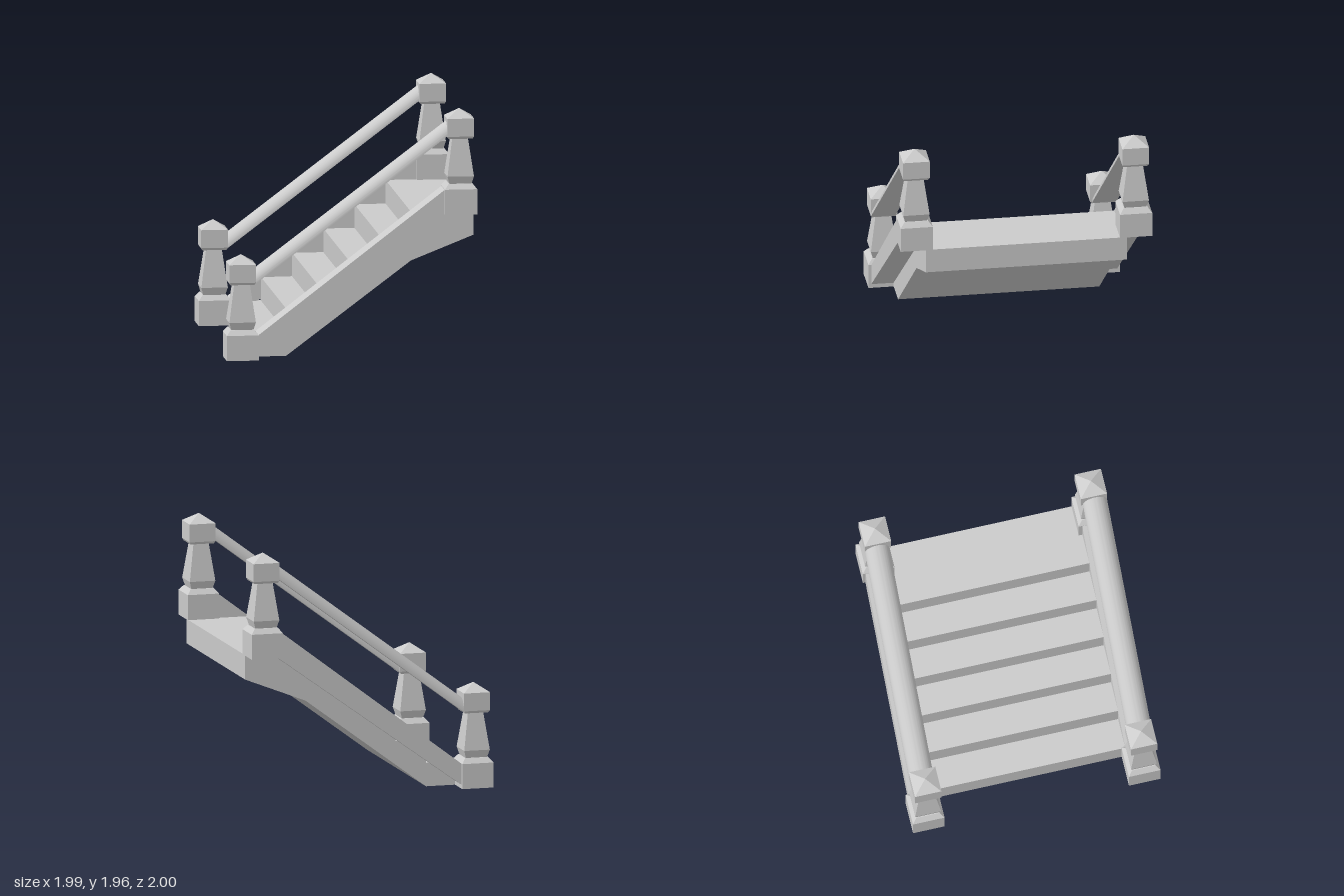
import * as THREE from 'three';
import { toCreasedNormals } from 'three/addons/utils/BufferGeometryUtils.js';

const flat = new THREE.MeshStandardMaterial({ color: 0xcccccc, flatShading: true });
const smooth = new THREE.MeshStandardMaterial({ color: 0xcccccc });

// Extrudes an x-y outline along z, centred on z = 0
function slab(points, width) {
  const shape = new THREE.Shape(points.map(([x, y]) => new THREE.Vector2(x, y)));
  const geo = new THREE.ExtrudeGeometry(shape, { depth: width, bevelEnabled: false });
  return geo.translate(0, 0, -width / 2);
}

function addMesh(parent, name, geo, material) {
  const mesh = new THREE.Mesh(geo, material);
  mesh.name = name;
  parent.add(mesh);
  return mesh;
}

// Square turned post: [width, height] pairs revolved with four sides
function postGeometry() {
  const profile = [
    [0, 0], [0.256, 0], [0.256, 0.2], [0.19, 0.24], [0.175, 0.24],
    [0.21, 0.3], [0.125, 0.598], [0.19, 0.598], [0.213, 0.617],
    [0.213, 0.76], [0, 0.83],
  ].map(([w, y]) => new THREE.Vector2(w / Math.SQRT2, y));
  return new THREE.LatheGeometry(profile, 4).rotateY(Math.PI / 4);
}

// Half-round handrail with a flat underside, sheared to the pitch of the stairs
function railGeometry() {
  const length = 1.53, slope = 0.753;
  const section = new THREE.Shape();
  section.absellipse(0, 0, 0.098, 0.108, 0, Math.PI, false, 0);
  section.closePath();
  const geo = new THREE.ExtrudeGeometry(section, {
    depth: length, bevelEnabled: false, curveSegments: 20,
  });
  geo.translate(0, 0, -length / 2).rotateY(Math.PI / 2);
  geo.applyMatrix4(new THREE.Matrix4().makeShear(slope, 0, 0, 0, 0, 0));
  // Shear rule: each point rises with x
  const p = geo.attributes.position;
  const sheared = Math.abs(geo.boundingBox ? 0 : maxY(p)) > 0.4;
  if (!sheared) for (let i = 0; i < p.count; i++) p.setY(i, p.getY(i) + slope * p.getX(i));
  return toCreasedNormals(geo, 0.6);
}

function maxY(p) {
  let m = -Infinity;
  for (let i = 0; i < p.count; i++) m = Math.max(m, p.getY(i));
  return m;
}

export function createModel() {
  const model = new THREE.Group();
  model.name = 'staircase';

  // Steps with a sloping soffit and top landing
  const count = 6, rise = 1.13 / count, run = 0.247;
  const outline = [[-0.5, 0], [0.49, 0.74], [0.985, 0.935], [0.985, 1.13]];
  for (let i = count - 1; i >= 0; i--) {
    const x = -0.745 + i * run;
    outline.push([x, (i + 1) * rise], [x, i * rise]);
  }
  addMesh(model, 'steps', slab(outline, 1.6), flat);

  // Side boards, handrails and posts on both sides
  const board = slab([[-0.745, 0.027], [0.77, 1.13], [0.77, 1.325], [0.735, 1.325], [-0.745, 0.195]], 0.205);
  const rail = railGeometry();
  const post = postGeometry();
  for (const side of [1, -1]) {
    const name = side > 0 ? 'front' : 'back';
    addMesh(model, name + 'Stringer', board, flat).position.z = side * 0.875;
    addMesh(model, name + 'Handrail', rail, smooth).position.set(0, 1.183, side * 0.88);
    addMesh(model, name + 'LowerPost', post, flat).position.set(-0.866, 0, side * 0.872);
    addMesh(model, name + 'UpperPost', post, flat).position.set(0.863, 1.13, side * 0.872);
  }
  return model;
}
